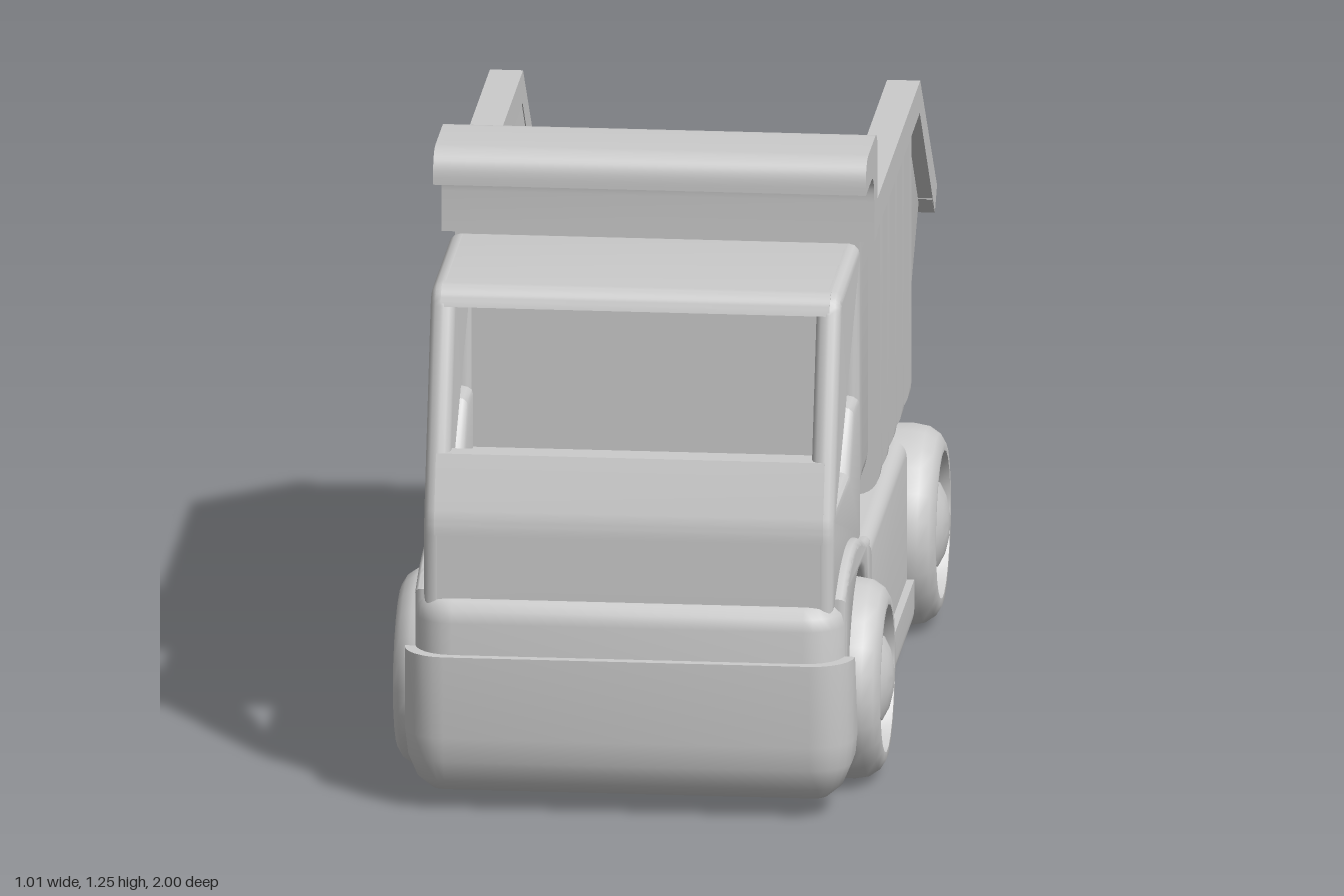
import * as THREE from 'three';
import { toCreasedNormals } from 'three/addons/utils/BufferGeometryUtils.js';

const material = new THREE.MeshStandardMaterial({ color: 0xcccccc });

function part(name, geometry) {
  const mesh = new THREE.Mesh(toCreasedNormals(geometry, 0.6), material);
  mesh.name = name;
  return mesh;
}

// Closed outline from [x, y, cornerRadius] points
function outline(points, Type = THREE.Shape) {
  const shape = new Type();
  const v = points.map(([x, y]) => new THREE.Vector2(x, y));
  const n = v.length;
  points.forEach(([x, y, r = 0], i) => {
    const toward = (q) => v[i].clone().add(q.clone().sub(v[i]).setLength(r));
    const a = toward(v[(i + n - 1) % n]);
    const b = toward(v[(i + 1) % n]);
    if (i === 0) shape.moveTo(a.x, a.y);
    else shape.lineTo(a.x, a.y);
    if (r > 0) shape.quadraticCurveTo(x, y, b.x, b.y);
  });
  shape.closePath();
  return shape;
}

// Side profile (z, y) extruded across x0..x1
function across(shape, x0, x1, bevel = 0) {
  const geo = new THREE.ExtrudeGeometry(shape, {
    depth: x1 - x0 - 2 * bevel, bevelEnabled: bevel > 0, bevelThickness: bevel,
    bevelSize: bevel, bevelOffset: -bevel, bevelSegments: 3, curveSegments: 8,
  });
  return geo.rotateY(-Math.PI / 2).translate(x1 - bevel, 0, 0);
}

// Front profile (x, y) extruded along z0..z1
function along(shape, z0, z1) {
  return new THREE.ExtrudeGeometry(shape, { depth: z1 - z0, bevelEnabled: false, curveSegments: 8 })
    .translate(0, 0, z0);
}

function box(x0, x1, y0, y1, z0, z1) {
  return new THREE.BoxGeometry(x1 - x0, y1 - y0, z1 - z0)
    .translate((x0 + x1) / 2, (y0 + y1) / 2, (z0 + z1) / 2);
}

// Skin over a run of equal-length closed cross-sections
function loft(rings) {
  const n = rings[0].length, last = (rings.length - 1) * n, index = [];
  for (let i = 0; i < rings.length - 1; i++) {
    for (let j = 0; j < n; j++) {
      const a = i * n + j, b = i * n + (j + 1) % n;
      index.push(a, b, b + n, a, b + n, a + n);
    }
  }
  for (let j = 1; j < n - 1; j++) index.push(0, j + 1, j, last, last + j, last + j + 1);
  const geo = new THREE.BufferGeometry();
  geo.setAttribute('position', new THREE.Float32BufferAttribute(rings.flat(2), 3));
  geo.setIndex(index);
  return geo;
}

// Section (inset, y) swept round the nose of the truck
function noseWrap(section, w, front, r, endZ) {
  const stops = [[-1, Math.PI, true]];
  for (let i = 0; i <= 6; i++) stops.push([-1, Math.PI * (1 - i / 12)]);
  for (let i = 6; i <= 12; i++) stops.push([1, Math.PI * (1 - i / 12)]);
  stops.push([1, 0, true]);
  return loft(stops.map(([s, a, end]) => section.map(([d, y]) => [
    s * (w - r) + (r - d) * Math.cos(a), y,
    (end ? endZ(y) : front - r) + (r - d) * Math.sin(a),
  ])));
}

function chassis() {
  const g = new THREE.Group();
  g.name = 'chassis';
  const half = [[0.455, 0.04, 0.05], [0.455, 0.15], [0.44, 0.15], [0.44, 0.44, 0.04]];
  const mirrored = half.map(([x, y, r]) => [-x, y, r]).reverse();
  g.add(part('middleChassis', along(outline([...half, ...mirrored]), -0.32, 0.41)));
  g.add(part('rearChassis', across(outline([
    [-0.76, 0.06, 0.07], [-0.3, 0.06], [-0.3, 0.44], [-0.76, 0.44, 0.04]]), -0.27, 0.27, 0.01)));
  g.add(part('frontCore', box(-0.27, 0.27, 0.06, 0.43, 0.4, 0.8)));

  // Front apron and the bumper wrapped round it
  g.add(part('frontApron', noseWrap(
    [[0, 0.1], [0.075, 0.1], [0.075, 0.445], [0.045, 0.445], [0.02, 0.437], [0.005, 0.42], [0, 0.395]],
    0.435, 0.98, 0.08, () => 0.88)));
  g.add(part('bumper', noseWrap(
    [[0, 0.16], [0.006, 0.11], [0.025, 0.065], [0.055, 0.04], [0.08, 0.035], [0.08, 0.33], [0, 0.33]],
    0.455, 1, 0.085, (y) => 0.92 - (0.33 - y) * 0.35)));

  // Fenders with wheel arches
  const fender = new THREE.Shape();
  fender.moveTo(0.92, 0.1);
  fender.lineTo(0.92, 0.45);
  fender.splineThru([[0.82, 0.485], [0.7, 0.5], [0.58, 0.485], [0.47, 0.45], [0.38, 0.435]]
    .map(([z, y]) => new THREE.Vector2(z, y)));
  fender.lineTo(0.38, 0.1);
  fender.lineTo(0.42, 0.115);
  fender.absarc(0.62, 0.205, 0.22, Math.PI + 0.42, -0.42, true);
  g.add(part('leftFender', across(fender, 0.36, 0.435, 0.015)));
  g.add(part('rightFender', across(fender, -0.435, -0.36, 0.015)));
  return g;
}

function cab() {
  const g = new THREE.Group();
  g.name = 'cab';
  // Side walls with stepped windows
  const wall = outline([[0.95, 0.42], [0.95, 0.6, 0.03], [0.8, 1.05, 0.04], [0.38, 1.05, 0.03], [0.38, 0.42]]);
  wall.holes.push(outline([[0.9, 0.63], [0.765, 1.01], [0.43, 1.01], [0.43, 0.74], [0.52, 0.74], [0.61, 0.63]],
    THREE.Path));
  g.add(part('leftCabWall', across(wall, 0.365, 0.415, 0.022)));
  g.add(part('rightCabWall', across(wall, -0.415, -0.365, 0.022)));
  // Roof and back wall in one piece, then the panel under the windscreen
  g.add(part('roofAndBack', across(outline([
    [0.813, 1.01], [0.8, 1.05, 0.03], [0.38, 1.05, 0.03], [0.38, 0.42], [0.42, 0.42], [0.42, 1.01]]),
  -0.393, 0.393)));
  g.add(part('frontPanel', across(outline([
    [0.95, 0.42], [0.95, 0.6, 0.03], [0.907, 0.73], [0.865, 0.73], [0.905, 0.6], [0.905, 0.42]]),
  -0.393, 0.393)));
  g.add(part('cabFloor', box(-0.375, 0.375, 0.42, 0.61, 0.39, 0.8)));
  return g;
}

// Rounded trough section between bottom b and top t
function trough(b, t, z) {
  const ring = [], wall = 0.035;
  const corner = (w, y, r, from, to) => {
    for (let i = 0; i <= 4; i++) {
      const a = from + (to - from) * i / 4, s = Math.sign(Math.cos((from + to) / 2));
      ring.push([s * (w - r) + r * Math.cos(a), Math.min(t, y + r + r * Math.sin(a)), z]);
    }
  };
  const r = Math.min(0.06, t - b), P = Math.PI;
  corner(0.405, b, r, P, 1.5 * P);
  corner(0.405, b, r, 1.5 * P, 2 * P);
  ring.push([0.405, t, z], [0.37, t, z]);
  corner(0.37, b + wall, r * 0.7, 2 * P, 1.5 * P);
  corner(0.37, b + wall, r * 0.7, 1.5 * P, P);
  ring.push([-0.37, t, z], [-0.405, t, z]);
  return ring;
}

function dumpBody() {
  const g = new THREE.Group();
  g.name = 'dumpBody';
  g.add(part('tub', loft([trough(0.755, 0.8, -0.96), trough(0.48, 1.07, -0.66), trough(0.48, 1.07, 0.29)])));
  g.add(part('tubFront', along(outline([
    [-0.405, 0.48, 0.06], [0.405, 0.48, 0.06], [0.405, 1.07], [-0.405, 1.07]]), 0.265, 0.305)));

  // Rim along both sides and the lip across the tail
  const rim = outline([[0.3, 1.1], [-0.65, 1.1], [-1, 0.785], [-0.955, 0.74], [-0.64, 1.035], [0.3, 1.035]]);
  g.add(part('leftRim', across(rim, 0.368, 0.435)));
  g.add(part('rightRim', across(rim, -0.435, -0.368)));
  g.add(part('tailLip', across(outline([
    [-0.955, 0.825], [-1, 0.785], [-0.955, 0.74], [-0.91, 0.78]]), -0.434, 0.434)));

  // Hooked guard over the cab
  g.add(part('cabGuard', across(outline([
    [0.335, 1.035], [0.335, 1.18, 0.06], [0.51, 1.18], [0.51, 1.25, 0.055],
    [0.265, 1.25, 0.05], [0.265, 1.035]]), -0.4375, 0.4375)));

  // Ribs hugging the sides and bottom
  const rib = outline([
    [-0.43, 0.45, 0.06], [0.43, 0.45, 0.06], [0.43, 1.05], [0.385, 1.05], [0.385, 0.495, 0.05],
    [-0.385, 0.495, 0.05], [-0.385, 1.05], [-0.43, 1.05]]);
  for (let i = 0; i < 5; i++) {
    const z = 0.112 - i * 0.152;
    g.add(part('rib', along(rib, z - 0.022, z + 0.022)));
  }
  return g;
}

function wheel(name, side, z) {
  const profile = [[0, 0.26], [0.17, 0.26], [0.195, 0.27], [0.205, 0.3], [0.205, 0.43], [0.2, 0.458],
    [0.185, 0.48], [0.165, 0.492], [0.15, 0.492], [0.142, 0.47], [0.09, 0.47], [0.085, 0.483],
    [0.06, 0.496], [0.03, 0.503], [0, 0.505]].map(([r, h]) => new THREE.Vector2(r, h));
  const mesh = part(name, new THREE.LatheGeometry(profile, 22).rotateZ(-Math.PI / 2));
  mesh.rotation.y = side > 0 ? 0 : Math.PI;
  mesh.position.set(0, 0.205, z);
  return mesh;
}

export function createModel() {
  const model = new THREE.Group();
  model.name = 'dumpTruck';
  model.add(chassis(), cab(), dumpBody());
  for (const [label, side] of [['left', 1], ['right', -1]]) {
    model.add(wheel(label + 'FrontWheel', side, 0.62), wheel(label + 'RearWheel', side, -0.54));
  }
  return model;
}
